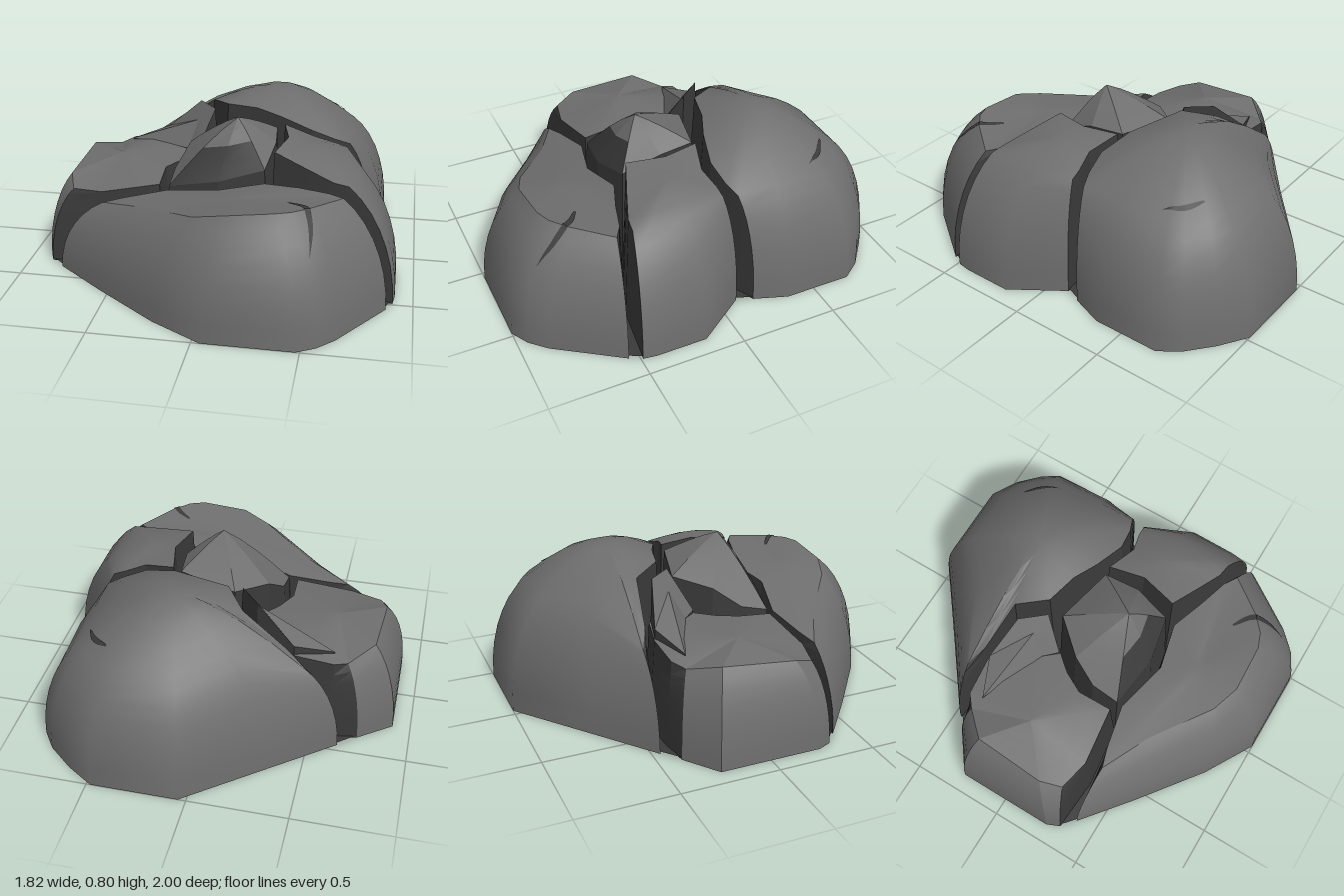
import * as THREE from 'three';
import { toCreasedNormals } from 'three/addons/utils/BufferGeometryUtils.js';

const rock = new THREE.MeshStandardMaterial({ color: 0x6e6e6e });
rock.name = 'rock grey';
const dark = new THREE.MeshStandardMaterial({ color: 0x3a3a3a, side: THREE.DoubleSide });
dark.name = 'crack grey';

const ROWS = 7, ARC = 1.12, LEAN = .032;
const lerp = THREE.MathUtils.lerp;

// outer: weathered columns [baseX, baseZ, rimX, rimY, rimZ]
// inner: columns along the cracks [x, z, rimY]
// peak: top of the chunk; bulge: 0 flat facets .. 1 domed; crease: angle kept sharp on the sides
// darkFacets: cap facets whose lower half has the crack colour
const chunks = {
  frontChunk: {
    outer: [[-.81, .39, -.57, .39, .4], [-.55, .6, -.32, .44, .53], [-.22, .85, -.04, .51, .74],
      [.04, 1, .1, .55, .79], [.48, 1, .34, .575, .78], [.57, .95, .42, .575, .75],
      [.65, .87, .5, .57, .68], [.87, .55, .64, .55, .5]],
    inner: [[.6, .45, .55], [.45, .4, .55], [.26, .32, .53], [0, .37, .5], [-.28, .31, .45], [-.5, .36, .41]],
    peak: [.1, .53, .56], bulge: 0, crease: .8,
  },
  rightChunk: {
    outer: [[.9, .49, .66, .58, .43], [.91, .42, .67, .585, .35], [.91, .16, .67, .59, .14],
      [.73, -.1, .62, .59, -.06]],
    inner: [[.58, -.085, .61], [.45, -.06, .65], [.27, -.1, .69], [.3, .1, .69], [.26, .32, .68],
      [.45, .4, .63], [.6, .45, .59]],
    peak: [.47, .67, .15], bulge: .6, crease: .8,
  },
  backChunk: {
    outer: [[.76, -.18, .63, .58, -.135], [.82, -.35, .63, .58, -.35], [.82, -.7, .62, .56, -.62],
      [.75, -.8, .58, .56, -.68], [.62, -.91, .5, .57, -.76], [.48, -1, .4, .58, -.8],
      [.04, -1, .1, .58, -.8], [-.33, -.71, -.1, .61, -.6], [-.65, -.46, -.47, .47, -.47]],
    inner: [[-.4, -.42, .54], [-.17, -.37, .7], [-.06, -.21, .73], [.12, -.16, .73],
      [.27, -.1, .71], [.45, -.06, .66], [.58, -.085, .61]],
    peak: [.2, .79, -.43], bulge: 1, crease: .8,
  },
  leftChunk: {
    outer: [[-.74, -.385, -.66, .43, -.33], [-.91, -.26, -.78, .47, -.2], [-.91, .26, -.8, .44, .17],
      [-.88, .33, -.76, .4, .28]],
    inner: [[-.6, .35, .41], [-.28, .31, .46], [-.28, .12, .48], [-.22, 0, .48], [-.07, -.19, .48],
      [-.18, -.36, .48], [-.4, -.42, .48], [-.6, -.41, .45]],
    peak: [-.57, .5, -.02], bulge: 0, crease: .25,
  },
  leftSpur: {
    outer: [],
    inner: [[-.62, -.31, .47], [-.26, -.13, .49], [-.18, -.06, .5], [-.07, -.19, .71], [-.2, -.35, .71],
      [-.42, -.4, .53]],
    peak: [-.2, .63, -.23], bulge: 0, crease: .25,
  },
  centreChunk: {
    outer: [],
    inner: [[-.28, .31, .46], [0, .37, .52], [.26, .32, .58], [.3, .1, .66], [.27, -.1, .67],
      [-.06, -.18, .64], [-.22, 0, .6], [-.28, .15, .5]],
    peak: [.08, .8, .16], bulge: .3, crease: .25, darkFacets: [0, 1],
  },
};

// Weathered columns curve inward as they rise; crack columns lean back slightly.
function makeColumns({ outer, inner, peak }) {
  const cols = outer.map(([bx, bz, rx, ry, rz]) => Array.from({ length: ROWS + 1 }, (_, k) => {
    const a = ARC * k / ROWS, s = Math.sin(a) / Math.sin(ARC), c = (1 - Math.cos(a)) / (1 - Math.cos(ARC));
    return [lerp(bx, rx, c), ry * s, lerp(bz, rz, c)];
  }));
  for (const [x, z, y] of inner) {
    const dx = peak[0] - x, dz = peak[2] - z, f = LEAN / Math.hypot(dx, dz);
    cols.push(Array.from({ length: ROWS + 1 }, (_, k) => {
      const t = k / ROWS;
      return [x + dx * f * t, y * t, z + dz * f * t];
    }));
  }
  return cols;
}

function makeMesh(name, positions, crease, material) {
  const g = new THREE.BufferGeometry();
  g.setAttribute('position', new THREE.Float32BufferAttribute(positions, 3));
  const mesh = new THREE.Mesh(toCreasedNormals(g, crease), material);
  mesh.name = name;
  return mesh;
}

function makeChunk(name, spec) {
  const { outer, peak, bulge, crease, darkFacets = [] } = spec;
  const cols = makeColumns(spec), n = cols.length;
  const sides = [], walls = [];
  const domed = bulge > .5;
  const top = domed ? sides : []; // domes shade smoothly into their sides
  const quad = (out, a, b, c, d) => out.push(...a, ...b, ...c, ...a, ...c, ...d);
  // cap point at fraction u from rim to peak
  const cap = (i, u) => {
    const r = cols[i][ROWS], v = lerp(u, Math.sin(u * Math.PI / 2), bulge);
    return [lerp(r[0], peak[0], u), lerp(r[1], peak[1], v), lerp(r[2], peak[2], u)];
  };
  for (let i = 0; i < n; i++) {
    const j = (i + 1) % n;
    const side = i < outer.length - 1 ? sides : walls;
    for (let k = 0; k < ROWS; k++) quad(side, cols[i][k], cols[j][k], cols[j][k + 1], cols[i][k + 1]);
    for (let k = 0; k < 3; k++) {
      const out = darkFacets.includes(i) && k < 2 ? walls : top;
      quad(out, cap(i, k / 4), cap(j, k / 4), cap(j, (k + 1) / 4), cap(i, (k + 1) / 4));
    }
    top.push(...cap(i, .75), ...cap(j, .75), ...peak);
  }
  const group = new THREE.Group();
  group.name = name;
  group.add(makeMesh(name + 'CrackWalls', walls, .3, dark));
  if (sides.length) group.add(makeMesh(name + 'Sides', sides, crease, rock));
  if (!domed) group.add(makeMesh(name + 'Top', top, .25, rock));
  return group;
}

// Flat underside, with the dark floor of the cracks just above it.
function makeBase() {
  const outline = Object.values(chunks).flatMap(c => c.outer).map(([x, z]) => new THREE.Vector2(x, z));
  const flat = new THREE.ShapeGeometry(new THREE.Shape(outline)).rotateX(Math.PI / 2);
  const underside = new THREE.Mesh(flat, rock);
  underside.name = 'underside';
  const floor = new THREE.Mesh(flat.clone().scale(.99, 1, .99).translate(0, .008, 0), dark);
  floor.name = 'crackFloor';
  return [underside, floor];
}

// Tapered dark fissure laid on a chunk along a line of [x, z] points.
function makeFissure(name, chunk, points, width) {
  const curve = new THREE.CatmullRomCurve3(points.map(([x, z]) => new THREE.Vector3(x, 0, z)));
  const ray = new THREE.Raycaster(), down = new THREE.Vector3(0, -1, 0), steps = 14;
  const drop = (x, z) => {
    ray.set(new THREE.Vector3(x, 2, z), down);
    const hit = ray.intersectObject(chunk, true)[0];
    return [x, (hit ? hit.point.y : 0) + .006, z];
  };
  const rows = [];
  for (let i = 0; i <= steps; i++) {
    const t = i / steps, p = curve.getPoint(t), d = curve.getTangent(t);
    const w = width * Math.sin(Math.PI * (.12 + .88 * t)) / 2;
    rows.push([drop(p.x - d.z * w, p.z + d.x * w), drop(p.x + d.z * w, p.z - d.x * w)]);
  }
  const pos = [];
  for (let i = 0; i < steps; i++) {
    const [a, b] = rows[i], [d, c] = rows[i + 1];
    pos.push(...a, ...c, ...b, ...a, ...d, ...c);
  }
  return makeMesh(name, pos, .5, dark);
}

export function createModel() {
  const model = new THREE.Group();
  model.name = 'crackedBoulder';
  const parts = {};
  for (const [name, spec] of Object.entries(chunks)) model.add(parts[name] = makeChunk(name, spec));
  model.updateMatrixWorld(true);
  model.add(
    ...makeBase(),
    makeFissure('frontFissure', parts.frontChunk, [[.39, .61], [.47, .67], [.51, .76], [.52, .86]], .03),
    makeFissure('backFissure', parts.backChunk, [[.45, -.7], [.53, -.64], [.58, -.56]], .022),
  );
  return model;
}
